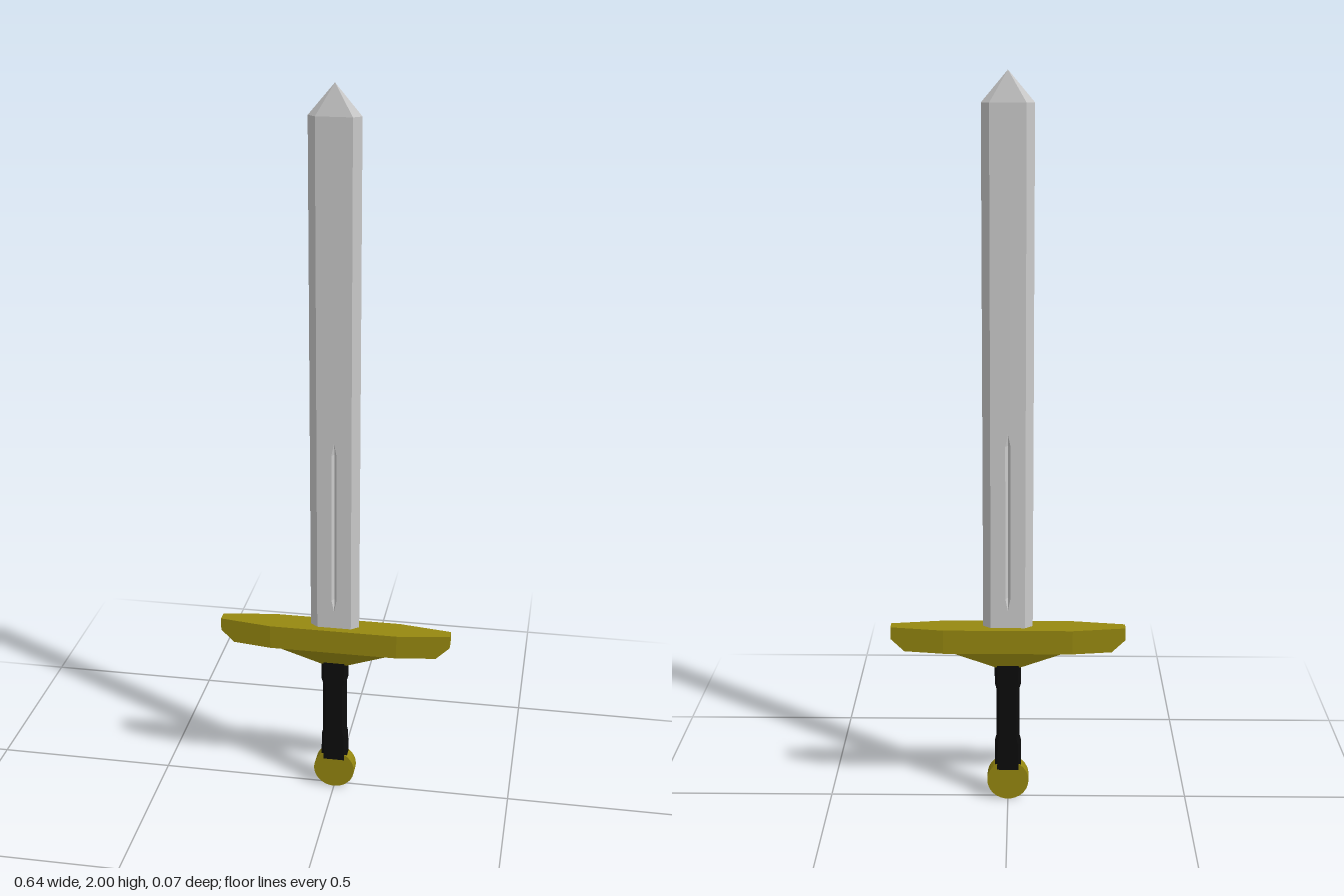
import * as THREE from 'three';

const material = (color) => new THREE.MeshStandardMaterial({ color, flatShading: true });

// Non-indexed geometry from a flat list of Vector3 triangle corners
function fromPoints(points) {
  const geometry = new THREE.BufferGeometry().setFromPoints(points);
  geometry.computeVertexNormals();
  return geometry;
}

// Skin between rings of [x, y, z]; rings run counter-clockwise seen from the end they advance to
function loft(rings, skip = () => false) {
  const r = rings.map((ring) => ring.map((p) => new THREE.Vector3(...p)));
  const n = r[0].length;
  const out = [];
  for (let i = 0; i < r.length - 1; i++) {
    for (let j = 0; j < n; j++) {
      if (skip(i, j)) continue;
      const k = (j + 1) % n;
      out.push(r[i][j], r[i][k], r[i + 1][k], r[i][j], r[i + 1][k], r[i + 1][j]);
    }
  }
  const last = r[r.length - 1];
  for (let j = 1; j < n - 1; j++) {
    out.push(r[0][0], r[0][j + 1], r[0][j], last[0], last[j], last[j + 1]);
  }
  return fromPoints(out);
}

// Horizontal rectangle, ordered for lofting upward
const rect = (y, hx, hz) => [[-hx, y, hz], [hx, y, hz], [hx, y, -hz], [-hx, y, -hz]];

// Horizontal rectangle with cut corners
function cutRect(y, hx, hz, c) {
  return [
    [-hx + c, y, hz], [hx - c, y, hz], [hx, y, hz - c], [hx, y, -hz + c],
    [hx - c, y, -hz], [-hx + c, y, -hz], [-hx, y, -hz + c], [-hx, y, hz - c],
  ];
}

export function createModel() {
  const model = new THREE.Group();
  const steel = material(0xcccccc);
  const gold = material(0x968810);
  const black = material(0x0c0c0c);

  const add = (name, geometry, mat, parent = model) => {
    const mesh = new THREE.Mesh(geometry, mat);
    mesh.name = name;
    parent.add(mesh);
    return mesh;
  };

  // Blade: flat hexagonal section drawn to a point
  const blade = new THREE.Group();
  blade.name = 'blade';
  model.add(blade);
  const flat = 0.047, edge = 0.068, thick = 0.017, base = 0.5, shoulder = 1.92;
  const hexagon = (y) => [
    [-flat, y, thick], [flat, y, thick], [edge, y, 0],
    [flat, y, -thick], [-flat, y, -thick], [-edge, y, 0],
  ];
  const tip = hexagon(2).map(() => [0, 2, 0]);
  // The two broad faces are left open for the fullered panels
  add('bladeBody', loft([hexagon(base), hexagon(shoulder), tip],
    (i, j) => i === 0 && (j === 0 || j === 3)), steel, blade);

  // Broad faces with a narrow groove cut in each
  const groove = [[0, 0.565], [0.007, 0.6], [0.007, 1.03], [0, 1.065], [-0.007, 1.03], [-0.007, 0.6]];
  const panel = new THREE.Shape([
    [-flat, base], [flat, base], [flat, shoulder], [-flat, shoulder],
  ].map((p) => new THREE.Vector2(...p)));
  panel.holes.push(new THREE.Path(groove.map((p) => new THREE.Vector2(...p))));
  const panelGeometry = new THREE.ShapeGeometry(panel).translate(0, 0, thick);

  // V-shaped groove walls meeting on a sunken centre line
  const rim = groove.map(([x, y]) => new THREE.Vector3(x, y, thick));
  const low = new THREE.Vector3(0, 0.6, 0.007);
  const high = new THREE.Vector3(0, 1.03, 0.007);
  const grooveGeometry = fromPoints([
    rim[0], rim[1], low, rim[1], rim[2], high, rim[1], high, low,
    rim[2], rim[3], high, rim[3], rim[4], high,
    rim[4], rim[5], low, rim[4], low, high, rim[5], rim[0], low,
  ]);
  for (const [side, turn] of [['front', 0], ['back', Math.PI]]) {
    add(side + 'Face', panelGeometry, steel, blade).rotation.y = turn;
    add(side + 'Groove', grooveGeometry, steel, blade).rotation.y = turn;
  }

  // Crossguard: tapered bar with bevelled lower ends, stations [x, bottom, half depth]
  const top = 0.515;
  const half = [[0.322, 0.48, 0.015], [0.285, 0.447, 0.0206], [0.177, 0.447, 0.037]];
  const stations = [
    ...half.map(([x, y, z]) => [-x, y, z]),
    ...half.slice().reverse(),
  ];
  add('crossguard', loft(stations.map(([x, y, z]) => [
    [x, y, z], [x, y, -z], [x, top, -z], [x, top, z],
  ])), gold);

  // Wedge joining the guard to the grip
  add('guardCollar', loft([rect(0.4, 0.035, 0.019), rect(0.448, 0.15, 0.0365)]), gold);

  // Grip: slim waist with slightly flared ends
  const grip = [[0.09, 0.037], [0.17, 0.036], [0.185, 0.032], [0.335, 0.032], [0.35, 0.036], [0.41, 0.037]];
  add('grip', loft(grip.map(([y, w]) => cutRect(y, w, 0.021, 0.008))), black);

  // Pommel: upright disc
  const disc = new THREE.CylinderGeometry(0.058, 0.058, 0.04, 32).rotateX(Math.PI / 2);
  add('pommel', disc, gold).position.y = 0.058;

  return model;
}
